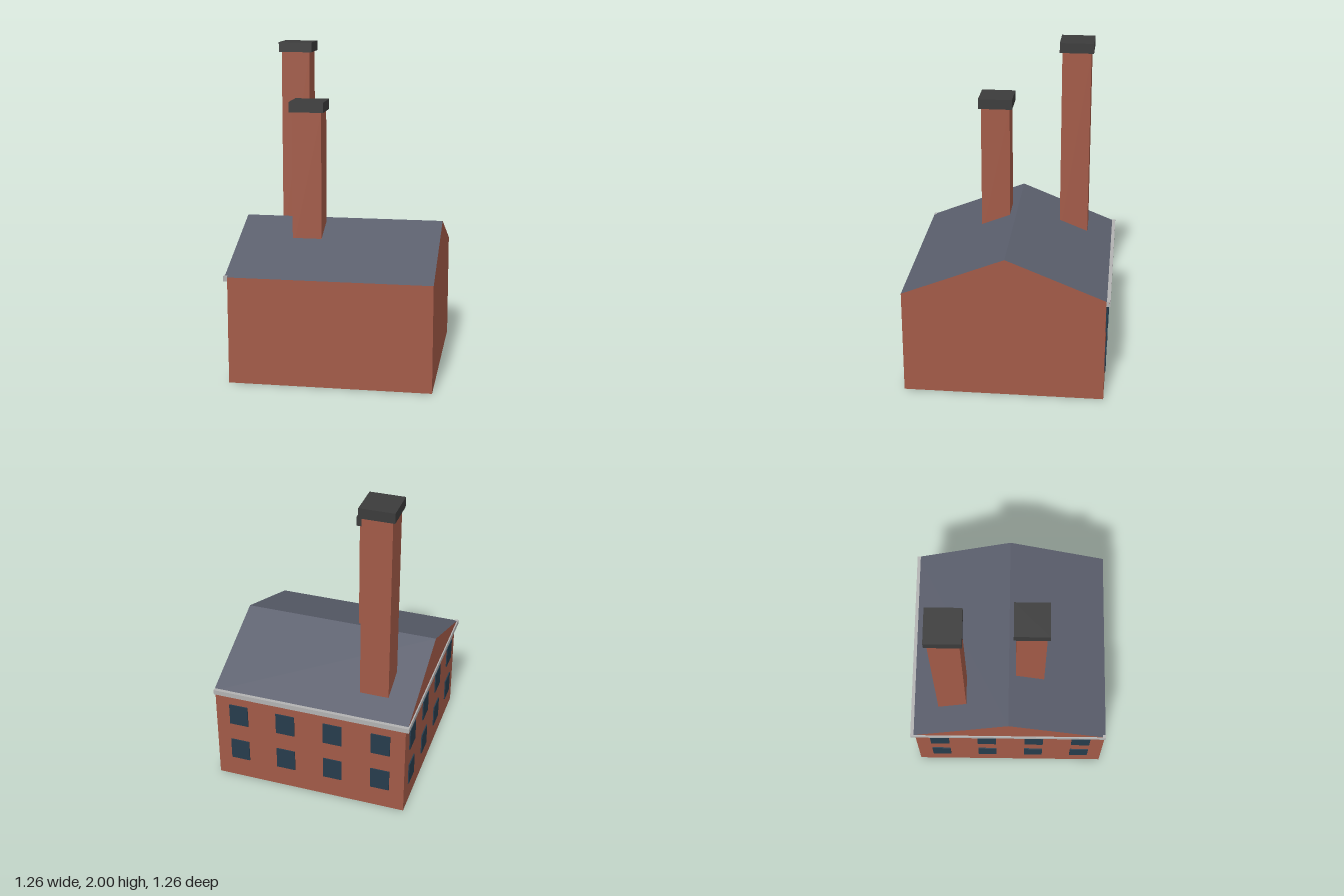
import * as THREE from 'three';

const flat = (name, color) => {
  const m = new THREE.MeshStandardMaterial({ color });
  m.name = name;
  return m;
};

export function createModel() {
  const brick = flat('brick', 0xa25a47);
  const slate = flat('slate', 0x5a5e6c);
  const stone = flat('stone', 0xb2b2b2);
  const glass = flat('glass', 0x263c4c);
  const soot = flat('soot', 0x3b3b3b);
  const model = new THREE.Group();
  model.name = 'factory';

  // Box given by its lower and upper corners
  const box = (name, mat, [x0, y0, z0], [x1, y1, z1], parent = model) => {
    const mesh = new THREE.Mesh(new THREE.BoxGeometry(x1 - x0, y1 - y0, z1 - z0), mat);
    mesh.position.set((x0 + x1) / 2, (y0 + y1) / 2, (z0 + z1) / 2);
    mesh.name = name;
    parent.add(mesh);
  };

  const edge = 0.628, wall = -0.607, eave = 0.66, ridge = 0.912;

  // Walls
  box('walls', brick, [wall, 0, wall], [edge, eave, edge]);

  // Gabled roof: brick ends, slate slopes
  const gable = new THREE.Shape([
    new THREE.Vector2(-edge, eave), new THREE.Vector2(edge, eave), new THREE.Vector2(0, ridge),
  ]);
  const roofLength = 0.624 + edge;
  const roofGeo = new THREE.ExtrudeGeometry(gable, { depth: roofLength, bevelEnabled: false });
  roofGeo.rotateY(Math.PI / 2).translate(-0.624, 0, 0);
  const roof = new THREE.Mesh(roofGeo, [brick, slate]);
  roof.name = 'roof';
  model.add(roof);

  // Cornice along the back and the right side
  box('backCornice', stone, [-0.632, 0.635, -0.632], [edge, 0.667, wall]);
  box('sideCornice', stone, [-0.632, 0.635, wall], [wall, 0.667, edge]);

  // Two rows of four windows on each corniced wall
  const windows = new THREE.Group();
  windows.name = 'windows';
  model.add(windows);
  const out = wall - 0.007;
  for (const y of [0.144, 0.415]) {
    for (let i = 0; i < 4; i++) {
      const a = -0.512 + i * 0.309, b = a + 0.122;
      box('backWindow', glass, [a, y, out], [b, y + 0.146, wall + 0.001], windows);
      box('sideWindow', glass, [out, y, a], [wall + 0.001, y + 0.146, b], windows);
    }
  }

  // Chimney stacks with caps
  const chimney = (name, x, z, base, top) => {
    const g = new THREE.Group();
    g.name = name;
    model.add(g);
    const s = 0.091, c = 0.107, neck = top - 0.063;
    box('stack', brick, [x - s, base, z - s], [x + s, neck, z + s], g);
    box('cap', soot, [x - c, neck, z - c], [x + c, top, z + c], g);
  };
  chimney('tallChimney', -0.36, -0.361, 0.7, 2);
  chimney('shortChimney', -0.196, 0.135, 0.75, 1.672);

  return model;
}
